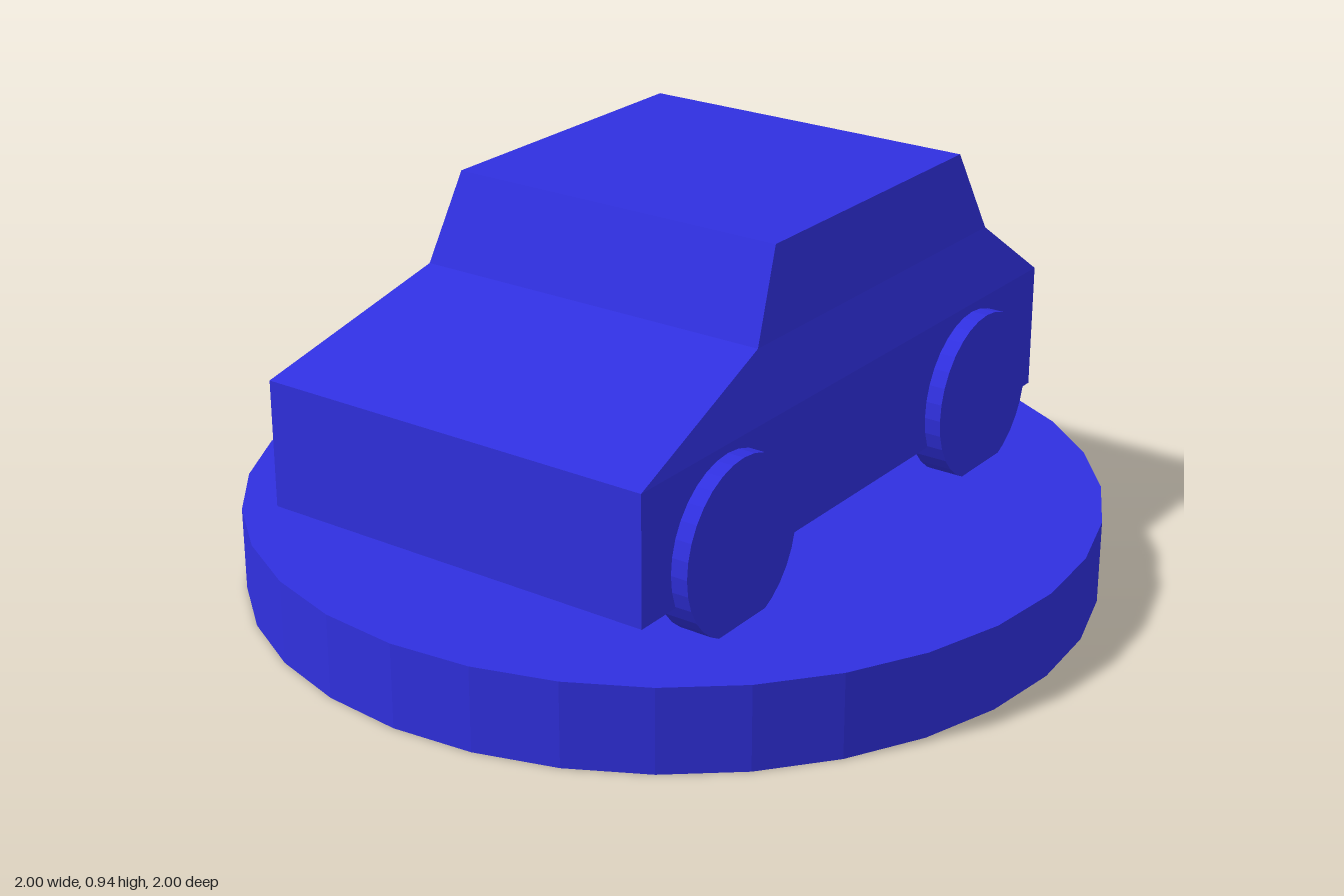
import * as THREE from 'three';

const paint = new THREE.MeshStandardMaterial({ color: 0x3030e0, flatShading: true });

// Closed hull from stacked rectangles: [y, xMin, xMax, half depth]
function stackedHull(sections) {
  const positions = [];
  const rings = sections.map(([y, x0, x1, d]) => [[x0, y, d], [x1, y, d], [x1, y, -d], [x0, y, -d]]);
  const quad = (a, b, c, d) => positions.push(...a, ...b, ...c, ...a, ...c, ...d);
  for (let i = 0; i < rings.length - 1; i++) {
    for (let k = 0; k < 4; k++) {
      const n = (k + 1) % 4;
      quad(rings[i][k], rings[i][n], rings[i + 1][n], rings[i + 1][k]);
    }
  }
  quad(...rings[rings.length - 1]);
  quad(...[...rings[0]].reverse());
  const geometry = new THREE.BufferGeometry();
  geometry.setAttribute('position', new THREE.Float32BufferAttribute(positions, 3));
  geometry.computeVertexNormals();
  return geometry;
}

export function createModel() {
  const model = new THREE.Group();
  model.name = 'carOnStand';
  const add = (name, geometry, x = 0, y = 0, z = 0) => {
    const mesh = new THREE.Mesh(geometry, paint);
    mesh.name = name;
    mesh.position.set(x, y, z);
    model.add(mesh);
    return mesh;
  };

  // Round stand
  add('stand', new THREE.CylinderGeometry(1, 1, 0.2, 32), 0, 0.1, 0);

  // Body, from floor through waistline and window sill to roof; bonnet towards -x
  add('body', stackedHull([
    [0.3, -0.8, 0.8, 0.5],
    [0.6, -0.8, 0.8, 0.5],
    [0.74, -0.32, 0.635, 0.45],
    [0.94, -0.225, 0.54, 0.428],
  ]));

  // Wheels, sunk slightly into the stand
  const wheel = new THREE.CylinderGeometry(0.2, 0.2, 0.08, 32).rotateX(Math.PI / 2);
  for (const x of [-0.5, 0.5]) {
    for (const z of [-0.5, 0.5]) {
      add(`${x < 0 ? 'front' : 'rear'}Wheel${z < 0 ? 'Far' : 'Near'}`, wheel, x, 0.38, z);
    }
  }
  return model;
}
